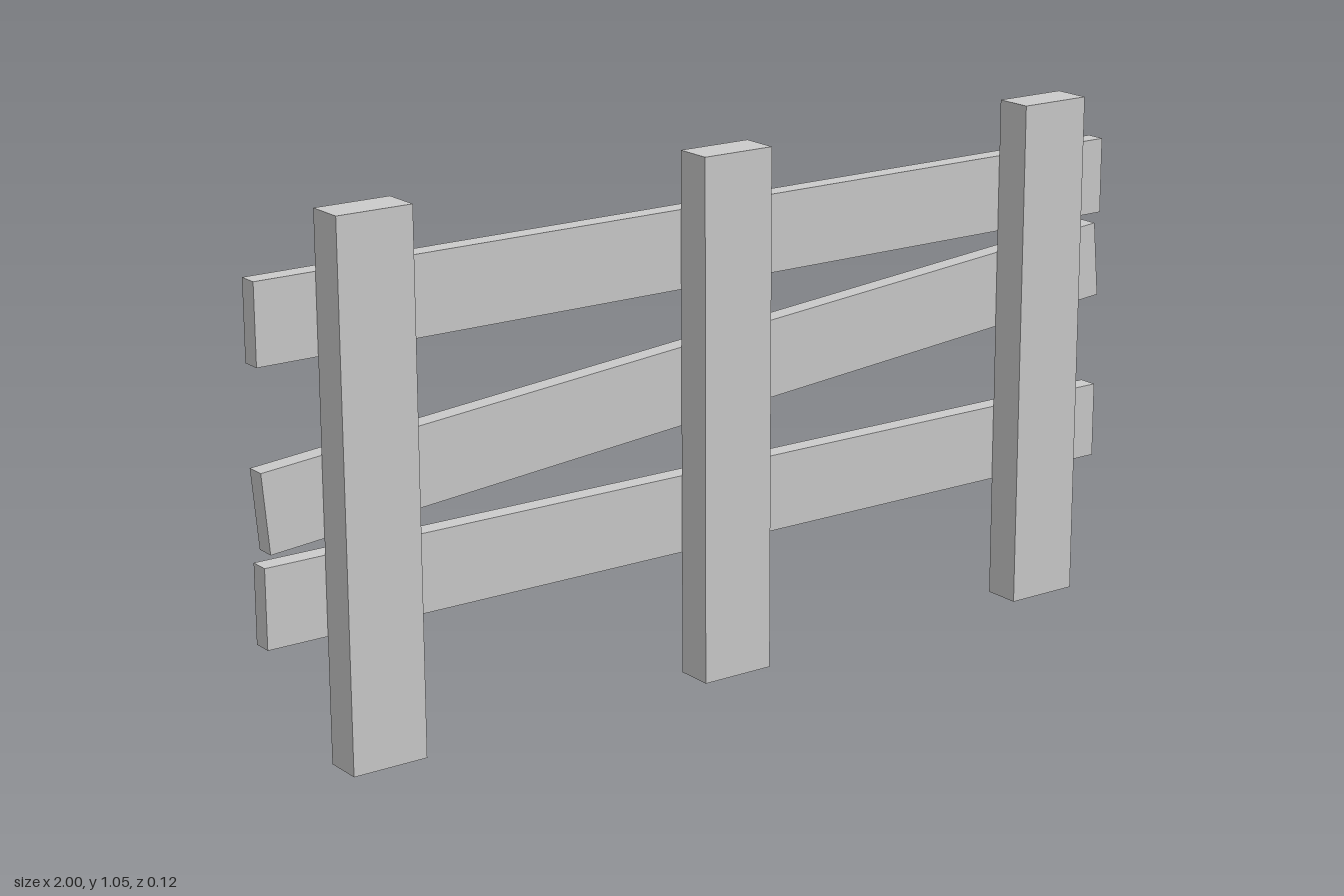
import * as THREE from 'three';

const material = new THREE.MeshStandardMaterial({ color: 0xcccccc, flatShading: true });

function plank(name, size, position, tilt = 0) {
  const mesh = new THREE.Mesh(new THREE.BoxGeometry(...size), material);
  mesh.name = name;
  mesh.position.set(...position);
  mesh.rotation.z = tilt;
  return mesh;
}

export function createModel() {
  const fence = new THREE.Group();
  fence.name = 'fence';
  const boardWidth = 0.157;

  // Upright posts at the front
  const postHeight = 1.054;
  [['rightPost', -0.797], ['middlePost', 0], ['leftPost', 0.797]].forEach(([name, x]) =>
    fence.add(plank(name, [boardWidth, postHeight, 0.078], [x, postHeight / 2, 0.021])));

  // Rails behind the posts, the middle one slipped out of level
  [
    ['lowerRail', 2, 0.329, 0],
    ['slantedRail', 1.994, 0.595, THREE.MathUtils.degToRad(5)],
    ['upperRail', 2, 0.86, 0],
  ].forEach(([name, length, y, tilt]) =>
    fence.add(plank(name, [length, boardWidth, 0.04], [0, y, -0.039], tilt)));

  return fence;
}
